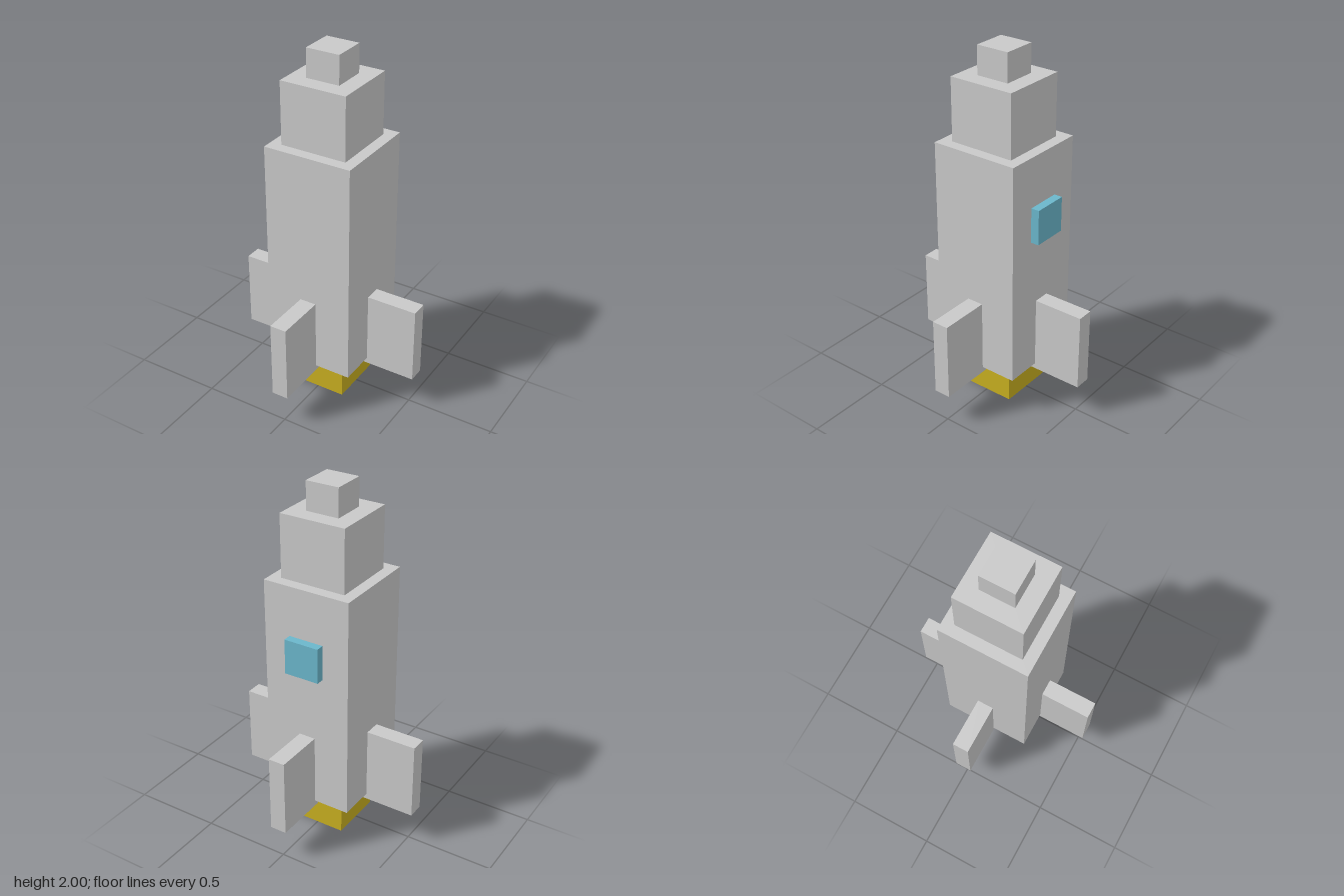
import * as THREE from 'three';

export function createModel() {
  const group = new THREE.Group();
  group.name = 'rocket';

  const material = (name, color) => {
    const m = new THREE.MeshStandardMaterial({ color });
    m.name = name;
    return m;
  };
  const hull = material('light grey', 0xc9c9c9);
  const glass = material('window blue', 0x6bb6cb);
  const brass = material('engine yellow', 0xc8af20);

  // Box given by its lower and upper corners
  const box = (name, mat, [x0, y0, z0], [x1, y1, z1]) => {
    const mesh = new THREE.Mesh(new THREE.BoxGeometry(x1 - x0, y1 - y0, z1 - z0), mat);
    mesh.position.set((x0 + x1) / 2, (y0 + y1) / 2, (z0 + z1) / 2);
    mesh.name = name;
    return mesh;
  };

  // Square tiers stacked along the axis: name, material, half width, bottom, top
  const tiers = [
    ['engine', brass, 0.158, 0, 0.226],
    ['body', hull, 0.252, 0.226, 1.492],
    ['noseBase', hull, 0.189, 1.492, 1.842],
    ['noseTip', hull, 0.095, 1.842, 2],
  ];
  for (const [name, mat, r, y0, y1] of tiers) {
    group.add(box(name, mat, [-r, y0, -r], [r, y1, r]));
  }

  // Four fins, one per side, slightly sunk into the body
  ['leftFin', 'backFin', 'rightFin', 'frontFin'].forEach((name, i) => {
    const fin = new THREE.Group();
    fin.name = name;
    fin.add(box(name + 'Plate', hull, [0.223, 0.194, -0.047], [0.538, 0.634, 0.047]));
    fin.rotation.y = (i * Math.PI) / 2;
    group.add(fin);
  });

  // Raised window on the back
  group.add(box('window', glass, [-0.1, 1.014, -0.299], [0.1, 1.212, -0.25]));

  return group;
}
